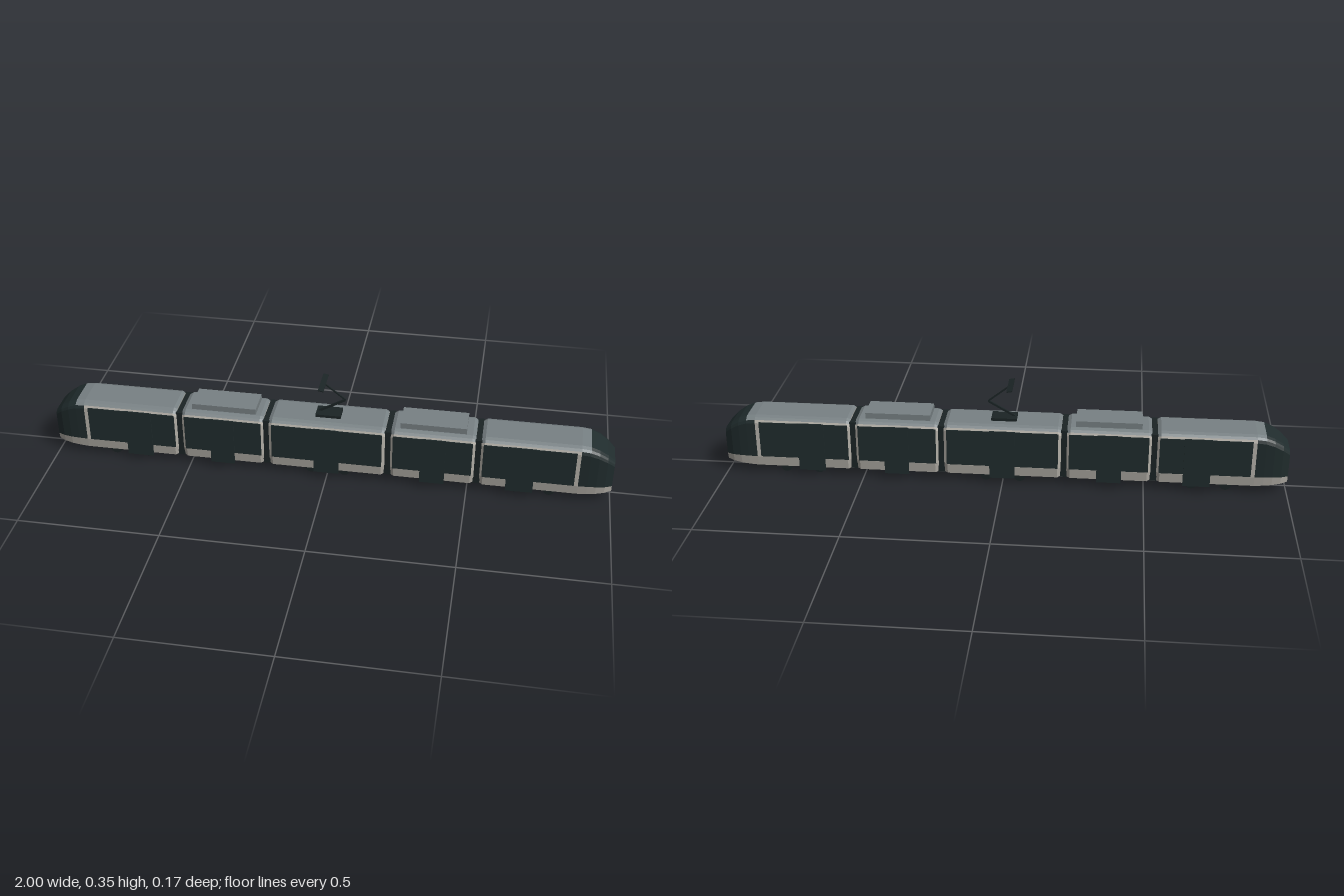
import * as THREE from 'three';

const mat = (name, color) => {
  const m = new THREE.MeshStandardMaterial({ color });
  m.name = name;
  return m;
};

// Half cross-section as [z, y], from the floor edge up to the roof edge
const HALF = [[0.058, 0.024], [0.072, 0.031], [0.079, 0.068], [0.08, 0.2], [0.076, 0.211], [0.068, 0.218], [0.055, 0.223]];
const PROFILE = [...HALF, ...HALF.slice().reverse().map(([z, y]) => [-z, y])];
const BOTTOM = 0.024, TOP = 0.223;

// Loft the section through stations [x, width factor, bottom y, top y];
// pick(x, band) gives a material index, caps gives those of both ends
function loft(stations, pick, caps, materials) {
  const buckets = materials.map(() => []);
  const rings = stations.map(([x, w, lo, hi]) =>
    PROFILE.map(([z, y]) => [x, lo + (y - BOTTOM) / (TOP - BOTTOM) * (hi - lo), z * w]));
  const n = PROFILE.length;
  for (let s = 0; s < rings.length - 1; s++) {
    const mid = (stations[s][0] + stations[s + 1][0]) / 2;
    for (let i = 0; i < n; i++) {
      const j = (i + 1) % n;
      const a = rings[s][i], b = rings[s][j], c = rings[s + 1][j], d = rings[s + 1][i];
      buckets[pick(mid, Math.min(i, 12 - i))].push(...a, ...d, ...c, ...a, ...c, ...b);
    }
  }
  const first = rings[0], last = rings[rings.length - 1];
  for (let i = 1; i < n - 1; i++) {
    buckets[caps[0]].push(...first[0], ...first[i], ...first[i + 1]);
    buckets[caps[1]].push(...last[0], ...last[i + 1], ...last[i]);
  }
  const geo = new THREE.BufferGeometry();
  geo.setAttribute('position', new THREE.Float32BufferAttribute(buckets.flat(), 3));
  let start = 0;
  buckets.forEach((b, k) => {
    geo.addGroup(start, b.length / 3, k);
    start += b.length / 3;
  });
  geo.computeVertexNormals();
  return new THREE.Mesh(geo, materials);
}

export function createModel() {
  const tram = new THREE.Group();
  tram.name = 'tram';
  const light = mat('light grey paint', 0xb9b5ad);
  const roof = mat('roof grey', 0x788184);
  const dark = mat('dark glass', 0x202c2d);
  const black = mat('black metal', 0x1b2425);
  const paints = [light, roof, dark];

  const box = (parent, name, m, [x0, x1], [y0, y1], [z0, z1]) => {
    const mesh = new THREE.Mesh(new THREE.BoxGeometry(x1 - x0, y1 - y0, z1 - z0), m);
    mesh.position.set((x0 + x1) / 2, (y0 + y1) / 2, (z0 + z1) / 2);
    mesh.name = name;
    parent.add(mesh);
    return mesh;
  };

  // Windows and door plates on both sides of a car
  const sides = (car, win, door) => {
    for (const s of [1, -1]) {
      const span = (a, b) => (s > 0 ? [a, b] : [-b, -a]);
      box(car, 'windowBand', dark, win, [0.07, 0.204], span(0.079, 0.0815));
      box(car, 'door', dark, door, [0.025, 0.207], span(0.0815, 0.085));
    }
  };

  // Bevelled end stations of a car
  const endAt = (x, dir) => {
    const pair = [[x, 0.93, 0.03, 0.217], [x + dir * 0.012, 1, BOTTOM, TOP]];
    return dir > 0 ? pair : pair.reverse();
  };
  const bodyColour = (x, band) => (band >= 4 ? 1 : 0);
  const noseColour = (x, band) => {
    if (band < 2) return 0;
    if (band >= 4) return x > 0.915 ? 2 : 1;
    return x > 0.883 ? 2 : 0;
  };

  // Driving cars with tapered noses, one at each end
  for (const turn of [0, Math.PI]) {
    const car = new THREE.Group();
    car.name = 'endCar';
    const body = loft([
      ...endAt(0.542, 1),
      [0.883, 1, BOTTOM, TOP],
      [0.915, 0.985, 0.026, 0.219],
      [0.945, 0.95, 0.029, 0.207],
      [0.975, 0.86, 0.033, 0.187],
      [1, 0.7, 0.038, 0.163],
    ], noseColour, [0, 2], paints);
    body.name = 'endCarBody';
    car.add(body);
    sides(car, [0.55, 0.869], [0.635, 0.73]);
    car.rotation.y = turn;
    tram.add(car);
  }

  // Middle cars with roof equipment
  for (const turn of [0, Math.PI]) {
    const car = new THREE.Group();
    car.name = 'middleCar';
    const body = loft([...endAt(0.227, 1), ...endAt(0.522, -1)], bodyColour, [0, 0], paints);
    body.name = 'middleCarBody';
    car.add(body);
    sides(car, [0.235, 0.513], [0.333, 0.42]);
    box(car, 'roofUnit', roof, [0.257, 0.488], [0.22, 0.244], [-0.052, 0.052]);
    car.rotation.y = turn;
    tram.add(car);
  }

  // Centre car
  const centre = new THREE.Group();
  centre.name = 'centreCar';
  const centreBody = loft([...endAt(-0.207, 1), ...endAt(0.207, -1)], bodyColour, [0, 0], paints);
  centreBody.name = 'centreCarBody';
  centre.add(centreBody);
  sides(centre, [-0.197, 0.197], [-0.045, 0.045]);
  tram.add(centre);

  // Gangway bellows between cars
  for (const x of [-0.532, -0.217, 0.217, 0.532]) {
    box(tram, 'bellows', black, [x - 0.012, x + 0.012], [0.034, 0.213], [-0.071, 0.071]);
  }

  // Wheel rollers, in pairs
  for (const c of [-0.727, 0, 0.727]) {
    for (const dx of [-0.06, 0.06]) {
      const wheel = new THREE.Mesh(new THREE.CylinderGeometry(0.021, 0.021, 0.105, 20), black);
      wheel.rotation.x = Math.PI / 2;
      wheel.position.set(c + dx, 0.021, 0);
      wheel.name = 'wheel';
      tram.add(wheel);
    }
  }

  // Pantograph: base, folded arms and contact bar
  const panto = new THREE.Group();
  panto.name = 'pantograph';
  box(panto, 'pantographBase', black, [-0.047, 0.043], [0.221, 0.233], [-0.03, 0.03]);
  const arm = (name, [x0, y0], [x1, y1], t) => {
    const mesh = new THREE.Mesh(new THREE.BoxGeometry(Math.hypot(x1 - x0, y1 - y0), t, t), black);
    mesh.position.set((x0 + x1) / 2, (y0 + y1) / 2, 0);
    mesh.rotation.z = Math.atan2(y1 - y0, x1 - x0);
    mesh.name = name;
    panto.add(mesh);
  };
  arm('lowerArm', [-0.038, 0.232], [0.056, 0.286], 0.007);
  arm('upperArm', [0.056, 0.286], [-0.022, 0.348], 0.005);
  box(panto, 'contactBar', black, [-0.033, -0.013], [0.346, 0.35], [-0.057, 0.057]).rotation.z = -0.2;
  tram.add(panto);

  return tram;
}
